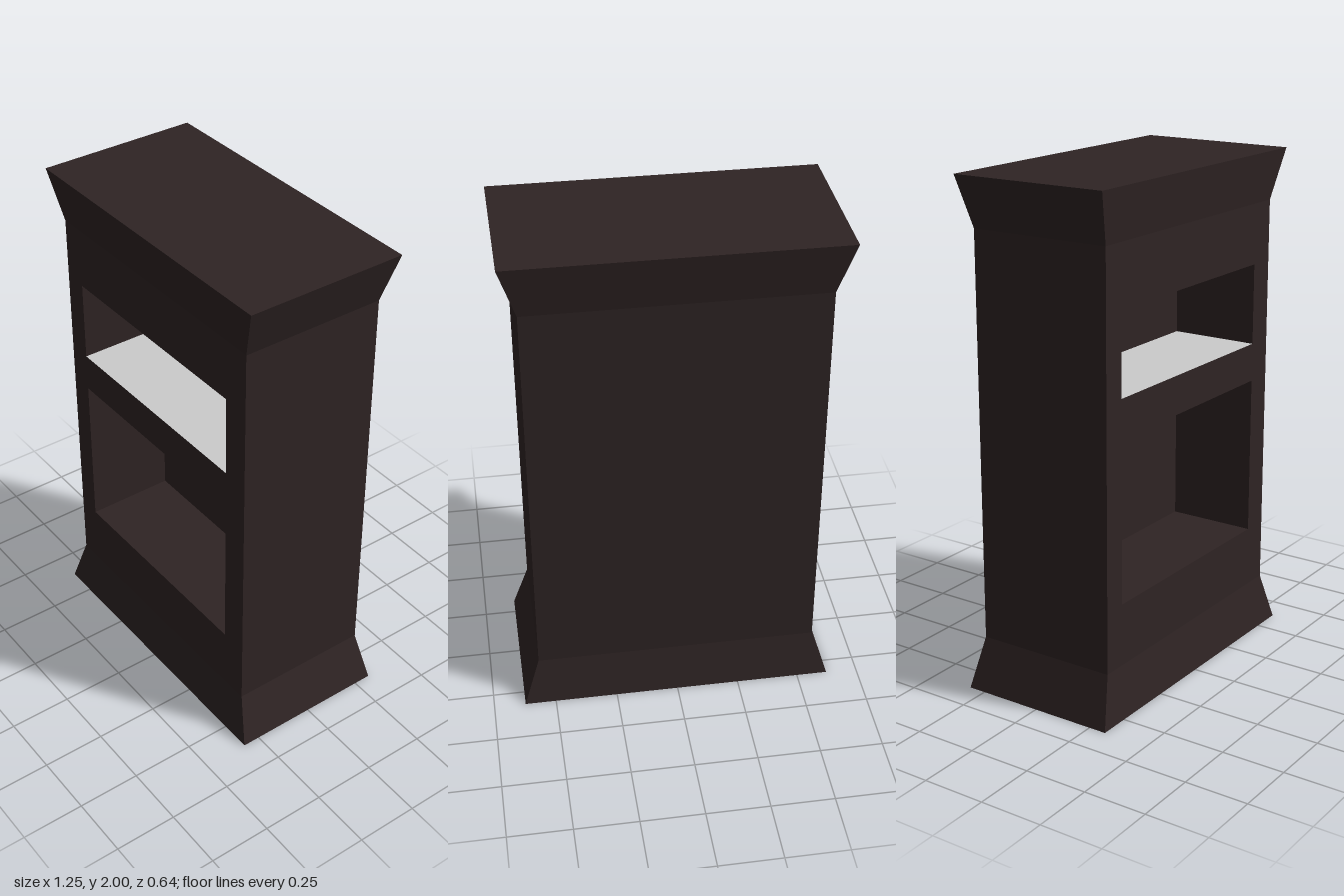
import * as THREE from 'three';

const dark = new THREE.MeshStandardMaterial({ color: 0x2f2424 });
dark.name = 'dark wood';
const pale = new THREE.MeshStandardMaterial({ color: 0xcccccc });
pale.name = 'pale shelf';

const HX = 0.56, HZ = 0.288;     // half width and depth of the body
const FX = 0.624, FZ = 0.32;     // half width and depth of the flared ends
const Y0 = 0.2, Y1 = 1.8, TOP = 2;
const LEFT = -0.466, RIGHT = 0.45, BACK = -0.07;   // recess limits

// Flat-shaded mesh from quads, each with corners counter-clockwise from outside
function quadMesh(name, quads, material) {
  const pos = quads.flatMap(([a, b, c, d]) => [a, b, c, a, c, d].flat());
  const geo = new THREE.BufferGeometry();
  geo.setAttribute('position', new THREE.Float32BufferAttribute(pos, 3));
  geo.computeVertexNormals();
  const mesh = new THREE.Mesh(geo, material);
  mesh.name = name;
  return mesh;
}

// Rectangular ring of corners, counter-clockwise from above, front edge first
const ring = (x, z, y) => [[-x, y, z], [x, y, z], [x, y, -z], [-x, y, -z]];

// Side faces between two rings
const sides = (lo, hi, list = [0, 1, 2, 3]) => list.map((i) => {
  const j = (i + 1) % 4;
  return [lo[i], lo[j], hi[j], hi[i]];
});

// Open recess: back wall, side walls and ceiling in wood, floor in its own colour
function recess(name, bottom, top, floorMaterial) {
  const group = new THREE.Group();
  group.name = name;
  const p = (x, y, z) => [x, y, z];
  group.add(quadMesh(name + 'Walls', [
    [p(LEFT, bottom, BACK), p(RIGHT, bottom, BACK), p(RIGHT, top, BACK), p(LEFT, top, BACK)],
    [p(LEFT, bottom, HZ), p(LEFT, bottom, BACK), p(LEFT, top, BACK), p(LEFT, top, HZ)],
    [p(RIGHT, bottom, BACK), p(RIGHT, bottom, HZ), p(RIGHT, top, HZ), p(RIGHT, top, BACK)],
    [p(LEFT, top, BACK), p(RIGHT, top, BACK), p(RIGHT, top, HZ), p(LEFT, top, HZ)],
  ], dark));
  group.add(quadMesh(name + 'Floor', [
    [p(LEFT, bottom, HZ), p(RIGHT, bottom, HZ), p(RIGHT, bottom, BACK), p(LEFT, bottom, BACK)],
  ], floorMaterial));
  return group;
}

// Adds a rectangle to a shape or path
function rect(path, x0, y0, x1, y1) {
  path.moveTo(x0, y0).lineTo(x1, y0).lineTo(x1, y1).lineTo(x0, y1).closePath();
  return path;
}

export function createModel() {
  const model = new THREE.Group();
  model.name = 'cabinet';

  const foot = ring(FX, FZ, 0), low = ring(HX, HZ, Y0);
  const high = ring(HX, HZ, Y1), crown = ring(FX, FZ, TOP);

  // Flared base and cornice with their end caps
  model.add(quadMesh('base', [...sides(foot, low), [...foot].reverse()], dark));
  model.add(quadMesh('cornice', [...sides(high, crown), crown], dark));

  // Side and back walls
  model.add(quadMesh('bodyWalls', sides(low, high, [1, 2, 3]), dark));

  // Front panel with an opening for each recess
  const openings = [
    { name: 'lowerRecess', bottom: 0.447, top: 1.085, floor: dark },
    { name: 'upperRecess', bottom: 1.238, top: 1.56, floor: pale },
  ];
  const front = rect(new THREE.Shape(), -HX, Y0, HX, Y1);
  for (const o of openings) {
    front.holes.push(rect(new THREE.Path(), LEFT, o.bottom, RIGHT, o.top));
    model.add(recess(o.name, o.bottom, o.top, o.floor));
  }
  const panel = new THREE.Mesh(new THREE.ShapeGeometry(front), dark);
  panel.name = 'frontPanel';
  panel.position.z = HZ;
  model.add(panel);

  return model;
}
